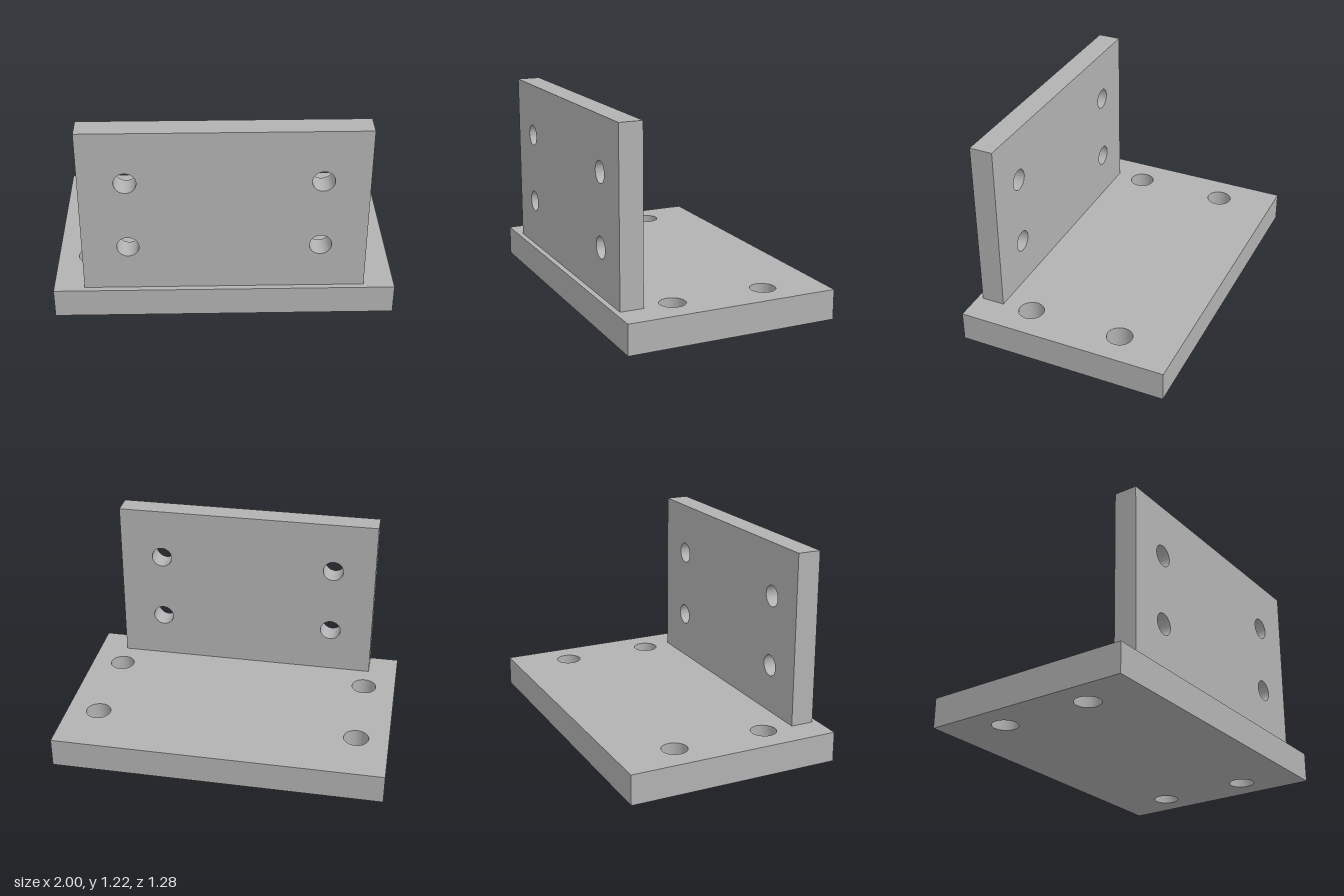
import * as THREE from 'three';
import { toCreasedNormals } from 'three/addons/utils/BufferGeometryUtils.js';

// Rectangular plate centred on the origin in XY, drilled at (±hx, each of hys), extruded along +z
function drilledPlate(width, height, depth, hx, hys, radius) {
  const w = width / 2, h = height / 2;
  const shape = new THREE.Shape();
  shape.moveTo(-w, -h).lineTo(w, -h).lineTo(w, h).lineTo(-w, h).closePath();
  for (const sx of [-1, 1]) {
    for (const hy of hys) {
      shape.holes.push(new THREE.Path().absarc(sx * hx, hy, radius, 0, Math.PI * 2, true));
    }
  }
  const geometry = new THREE.ExtrudeGeometry(shape, { depth, bevelEnabled: false, curveSegments: 24 });
  return toCreasedNormals(geometry, Math.PI / 5);
}

export function createModel() {
  const steel = new THREE.MeshStandardMaterial({ color: 0xb2b2b2 });
  steel.name = 'steel grey';

  const group = new THREE.Group();
  group.name = 'mountingBracket';

  // Horizontal base with four vertical bolt holes
  const base = new THREE.Mesh(drilledPlate(2, 1.28, 0.18, 0.803, [-0.286, 0.286], 0.076), steel);
  base.name = 'basePlate';
  base.rotation.x = -Math.PI / 2;

  // Upright near the front edge with four through holes
  const bottom = 0.18, top = 1.216, mid = (bottom + top) / 2;
  const upright = new THREE.Mesh(
    drilledPlate(1.64, top - bottom, 0.14, 0.554, [0.468 - mid, 0.897 - mid], 0.064), steel);
  upright.name = 'uprightPlate';
  upright.position.set(0, mid, 0.467);

  group.add(base, upright);
  return group;
}
